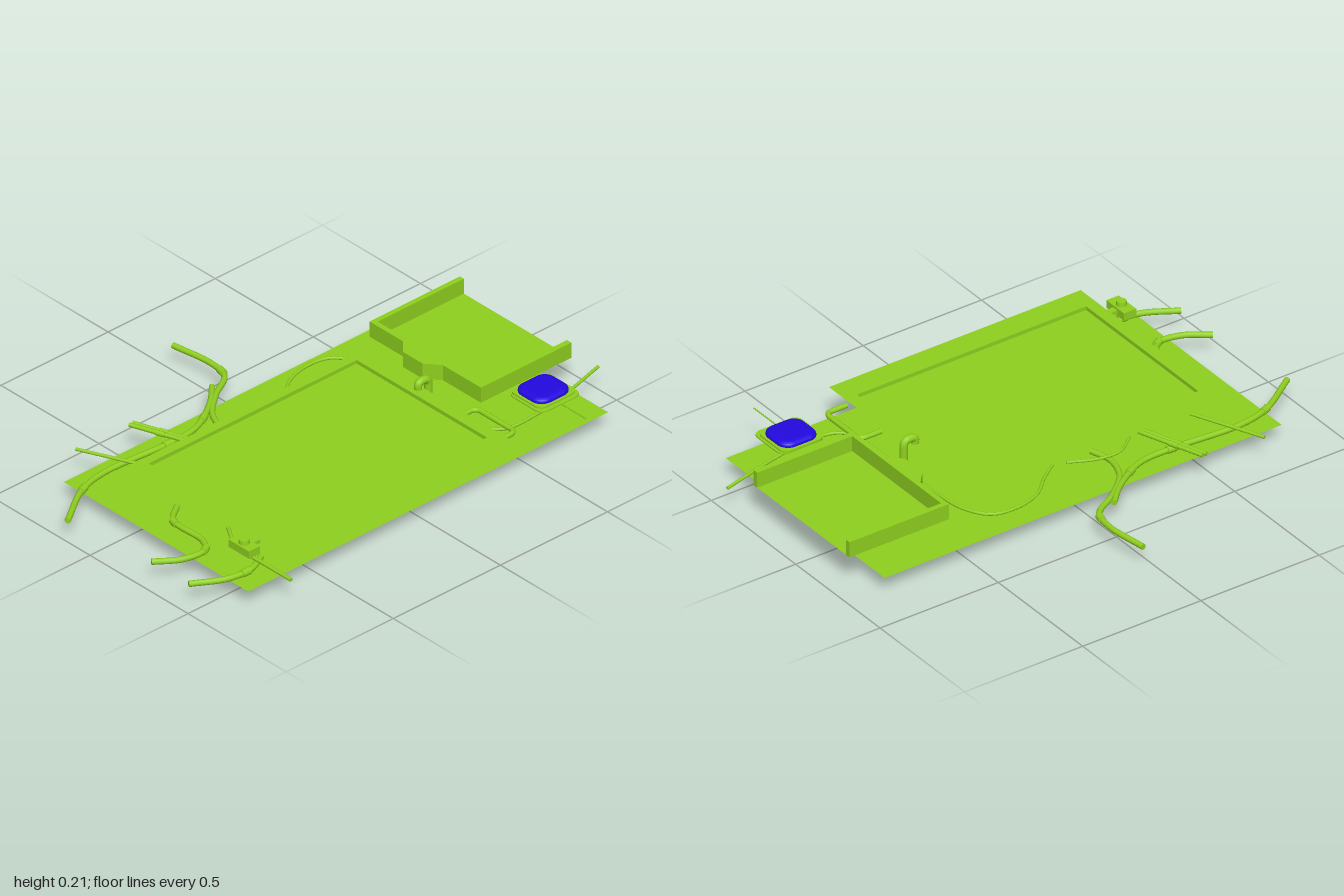
import * as THREE from 'three';

export function createModel() {
  const model = new THREE.Group();
  const green = new THREE.MeshStandardMaterial({ color: 0x8fd01f, side: THREE.DoubleSide });
  const blue = new THREE.MeshStandardMaterial({ color: 0x2408e0 });

  const add = (name, geometry, material = green) => {
    const mesh = new THREE.Mesh(geometry, material);
    mesh.name = name;
    model.add(mesh);
    return mesh;
  };
  const box = (name, x0, x1, y0, y1, z0, z1) =>
    add(name, new THREE.BoxGeometry(x1 - x0, y1 - y0, z1 - z0)
      .translate((x0 + x1) / 2, (y0 + y1) / 2, (z0 + z1) / 2));
  const sheet = (name, x0, x1, y, z0, z1) =>
    add(name, new THREE.PlaneGeometry(x1 - x0, z1 - z0).rotateX(-Math.PI / 2)
      .translate((x0 + x1) / 2, y, (z0 + z1) / 2));
  // Shapes drawn in (x, z), laid flat
  const flat = (geometry, y) => geometry.rotateX(Math.PI / 2).translate(0, y, 0);
  const rect = (T, x0, x1, z0, z1) => new T([[x0, z0], [x1, z0], [x1, z1], [x0, z1]]
    .map(p => new THREE.Vector2(...p)));
  const roundRect = (x0, x1, z0, z1, r) => {
    const s = new THREE.Shape();
    s.moveTo(x0 + r, z0).lineTo(x1 - r, z0).absarc(x1 - r, z0 + r, r, -Math.PI / 2, 0);
    s.lineTo(x1, z1 - r).absarc(x1 - r, z1 - r, r, 0, Math.PI / 2);
    s.lineTo(x0 + r, z1).absarc(x0 + r, z1 - r, r, Math.PI / 2, Math.PI);
    s.lineTo(x0, z0 + r).absarc(x0 + r, z0 + r, r, Math.PI, Math.PI * 1.5);
    return s;
  };
  // Hose through [x, z] points at height y, with end caps and optional collars
  const hose = (name, pts, y, r, collars = []) => {
    const curve = new THREE.CatmullRomCurve3(pts.map(([x, z]) => new THREE.Vector3(x, y, z)));
    add(name, new THREE.TubeGeometry(curve, pts.length * 10, r, 10));
    const rod = (label, t, length, radius) => {
      const m = add(label, new THREE.CylinderGeometry(radius, radius, length, 12));
      m.position.copy(curve.getPointAt(t));
      m.quaternion.setFromUnitVectors(new THREE.Vector3(0, 1, 0), curve.getTangentAt(t));
    };
    [0, 1].forEach(t => rod(name + 'End', t, 0.002, r));
    collars.forEach(t => rod(name + 'Collar', t, 0.035, r * 1.3));
  };

  // Thin base sheet
  sheet('baseSheet', -0.82, 0.86, 0.064, -0.33, 0.61);

  // Counter with a shallow basin
  const rim = rect(THREE.Shape, -0.67, 0.395, -0.145, 0.65);
  rim.holes.push(rect(THREE.Path, -0.625, 0.345, -0.11, 0.555));
  add('counterRim', flat(new THREE.ShapeGeometry(rim), 0.16));
  sheet('basinFloor', -0.625, 0.345, 0.145, -0.11, 0.555);
  [-0.625, 0.345].forEach(x => add('basinSide', new THREE.PlaneGeometry(0.665, 0.015)
    .rotateY(Math.PI / 2).translate(x, 0.1525, 0.2225)));
  [-0.11, 0.555].forEach(z => add('basinEnd', new THREE.PlaneGeometry(0.97, 0.015)
    .translate(-0.14, 0.1525, z)));

  // Side tray, open on its outer end, with a bulge in the inner wall
  sheet('trayFloor', 0.515, 0.937, 0.125, -0.23, 0.338);
  const wall = new THREE.Shape([
    [0.937, -0.23], [0.515, -0.23], [0.515, -0.06], [0.47, -0.01], [0.47, 0.09], [0.515, 0.145],
    [0.515, 0.338], [0.937, 0.338], [0.937, 0.316], [0.535, 0.316], [0.535, -0.21], [0.937, -0.21],
  ].map(p => new THREE.Vector2(...p)));
  add('trayWall', flat(new THREE.ExtrudeGeometry(wall, { depth: 0.062, bevelEnabled: false }), 0.186));

  // Tap: post, bent spout and nozzle
  const spout = new THREE.CurvePath();
  const v = (x, y) => new THREE.Vector3(x, y, 0.178);
  spout.add(new THREE.LineCurve3(v(0.416, 0), v(0.416, 0.17)));
  spout.add(new THREE.QuadraticBezierCurve3(v(0.416, 0.17), v(0.416, 0.195), v(0.392, 0.195)));
  spout.add(new THREE.QuadraticBezierCurve3(v(0.392, 0.195), v(0.368, 0.197), v(0.368, 0.18)));
  add('tapPost', new THREE.TubeGeometry(spout, 60, 0.015, 12));
  add('tapFoot', new THREE.CylinderGeometry(0.015, 0.015, 0.002, 12).translate(0.416, 0.001, 0.178));
  add('tapNozzle', new THREE.CylinderGeometry(0.014, 0.014, 0.016, 12).translate(0.368, 0.177, 0.178));

  // U-shaped rail beside the counter
  const rail = new THREE.CurvePath();
  const u = (x, z) => new THREE.Vector3(x, 0.129, z);
  rail.add(new THREE.LineCurve3(u(0.385, 0.357), u(0.445, 0.357)));
  rail.add(new THREE.QuadraticBezierCurve3(u(0.445, 0.357), u(0.475, 0.357), u(0.475, 0.387)));
  rail.add(new THREE.LineCurve3(u(0.475, 0.387), u(0.475, 0.53)));
  rail.add(new THREE.QuadraticBezierCurve3(u(0.475, 0.53), u(0.475, 0.56), u(0.445, 0.56)));
  rail.add(new THREE.LineCurve3(u(0.445, 0.56), u(0.385, 0.56)));
  add('sideRail', new THREE.TubeGeometry(rail, 60, 0.01, 10));

  // Blue pad on a thin rounded base
  add('padBase', flat(new THREE.ExtrudeGeometry(roundRect(0.587, 0.778, 0.395, 0.568, 0.03),
    { depth: 0.005, bevelEnabled: false }), 0.158));
  add('padCollar', flat(new THREE.ExtrudeGeometry(roundRect(0.595, 0.77, 0.39, 0.555, 0.03),
    { depth: 0.006, bevelEnabled: false }), 0.166));
  add('bluePad', flat(new THREE.ExtrudeGeometry(roundRect(0.63, 0.735, 0.425, 0.52, 0.02),
    { depth: 0.004, bevelThickness: 0.014, bevelSize: 0.025, bevelSegments: 5 }), 0.171), blue);
  add('padPin', new THREE.CylinderGeometry(0.0025, 0.0025, 0.14, 6).rotateX(Math.PI / 2)
    .translate(0.68, 0.157, 0.625));

  // Valve box
  box('valveBox', -0.752, -0.7, 0.135, 0.165, 0.435, 0.54);
  box('valveOutlet', -0.7, -0.662, 0.143, 0.157, 0.475, 0.5);
  add('valveKnob', new THREE.CylinderGeometry(0.018, 0.02, 0.018, 12).translate(-0.727, 0.172, 0.488));

  // Hoses lying on the base sheet
  hose('backHose', [[-0.99, -0.125], [-0.82, -0.235], [-0.69, -0.265], [-0.4, -0.25], [-0.27, -0.26],
    [-0.13, -0.34], [-0.05, -0.415]], 0.078, 0.011, [0.2, 0.6, 0.8]);
  hose('curledHose', [[0.03, -0.7], [0.05, -0.53], [0.03, -0.44], [-0.075, -0.37], [-0.17, -0.28],
    [-0.2, -0.18], [-0.18, -0.1]], 0.075, 0.011, [0.33]);
  hose('upperSideHose', [[-0.95, 0.26], [-0.86, 0.32], [-0.77, 0.33], [-0.73, 0.28], [-0.72, 0.12],
    [-0.65, 0.06]], 0.076, 0.011, [0.4, 0.8]);
  hose('lowerSideHose', [[-0.95, 0.45], [-0.83, 0.515], [-0.73, 0.525], [-0.65, 0.49]],
    0.076, 0.011, [0.65]);
  hose('frontPipe', [[-0.702, 0.7], [-0.702, 0.54], [-0.7, 0.42], [-0.64, 0.31]], 0.104, 0.007);
  hose('thinRod', [[-0.69, -0.41], [-0.57, -0.14]], 0.104, 0.006);
  [-0.008, 0.008].forEach(d =>
    hose('twinRod', [[-0.45 + d, -0.39], [-0.36 + d, -0.14]], 0.112, 0.008, [0.45]));
  hose('smallLoop', [[-0.32, -0.13], [-0.24, -0.185], [-0.15, -0.18], [-0.05, -0.135]], 0.096, 0.005);

  // Long cable from the counter round to the pad and off the side
  hose('longCable', [[0.0, -0.12], [0.07, -0.17], [0.15, -0.24], [0.25, -0.27], [0.35, -0.255],
    [0.41, -0.17], [0.43, 0.0], [0.435, 0.3], [0.45, 0.44], [0.5, 0.485], [0.62, 0.49],
    [0.78, 0.465], [0.995, 0.41]], 0.096, 0.006);

  return model;
}
